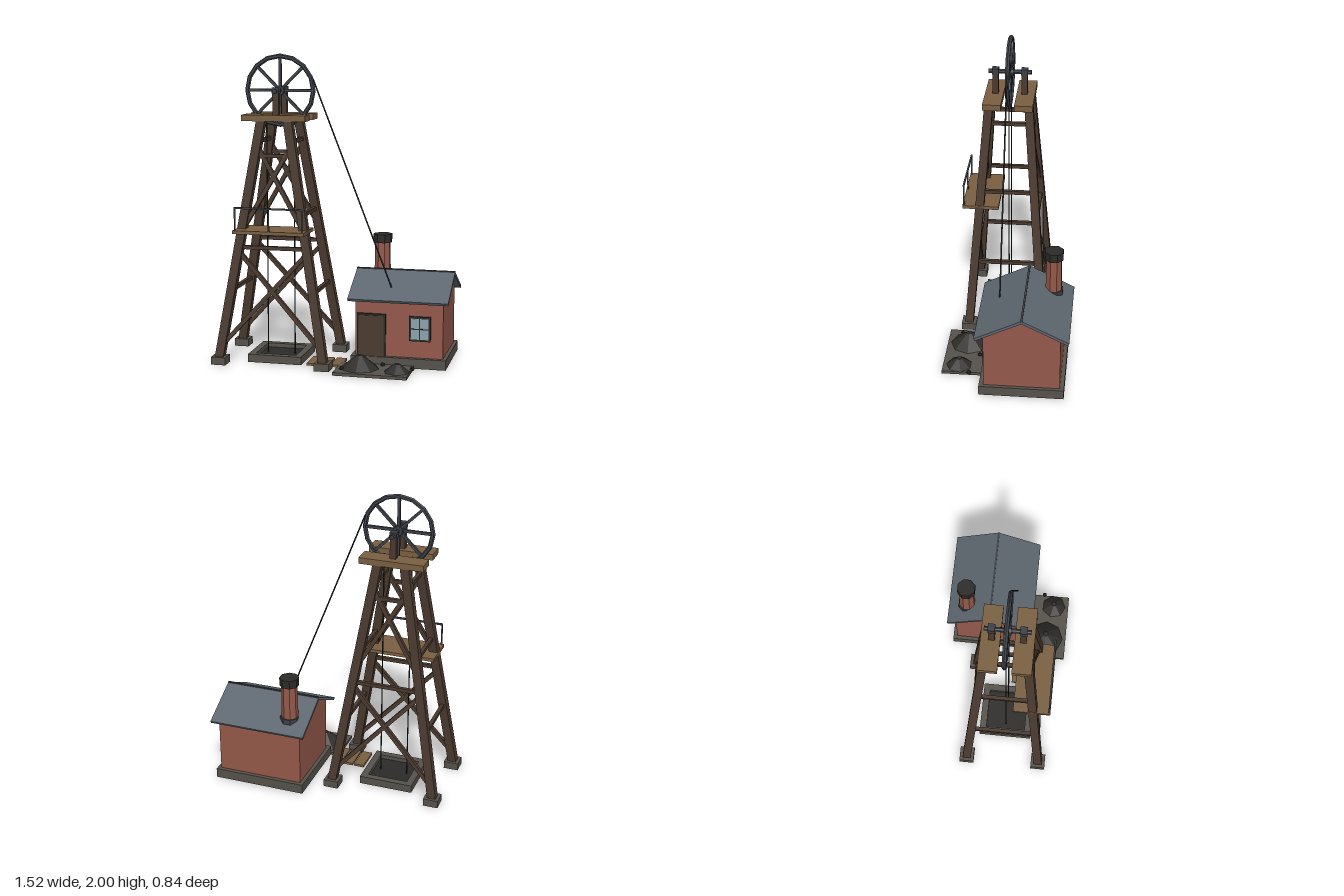
import * as THREE from 'three';

const mat = (color) => new THREE.MeshStandardMaterial({ color, flatShading: true });
const M = {
  timber: mat(0x4a3a2f), plank: mat(0x7a6042), iron: mat(0x3c4047), cable: mat(0x1f2222),
  stone: mat(0x56524b), brick: mat(0x94594a), roof: mat(0x5d666f), dark: mat(0x2c2b29),
  door: mat(0x4a3b30), glass: mat(0x8aa5b0), coal: mat(0x302e2b),
};

function add(parent, name, geo, material, x = 0, y = 0, z = 0) {
  const m = new THREE.Mesh(geo, material);
  m.name = name;
  m.position.set(x, y, z);
  parent.add(m);
  return m;
}

// Box given by its minimum and maximum on each axis
function box(parent, name, material, x0, x1, y0, y1, z0, z1) {
  return add(parent, name, new THREE.BoxGeometry(x1 - x0, y1 - y0, z1 - z0), material,
    (x0 + x1) / 2, (y0 + y1) / 2, (z0 + z1) / 2);
}

// Square beam or round rod between two points
function beam(parent, name, material, a, b, w, round = false) {
  const p = new THREE.Vector3(...a), q = new THREE.Vector3(...b);
  const d = q.clone().sub(p), len = d.length();
  const geo = round ? new THREE.CylinderGeometry(w, w, len, 6) : new THREE.BoxGeometry(w, len, w);
  const m = add(parent, name, geo, material);
  m.position.copy(p).add(q).multiplyScalar(0.5);
  m.quaternion.setFromUnitVectors(new THREE.Vector3(0, 1, 0), d.normalize());
  return m;
}

// Outline in (z, y) swept along x from x0 to x1
function sweepX(parent, name, material, pts, x0, x1) {
  const shape = new THREE.Shape(pts.map(([z, y]) => new THREE.Vector2(z, y)));
  const geo = new THREE.ExtrudeGeometry(shape, { depth: x1 - x0, bevelEnabled: false });
  geo.rotateY(-Math.PI / 2);
  return add(parent, name, geo, material, x1, 0, 0);
}

const CX = -0.367, CZ = 0.05; // tower axis

// Centre of a leg at height y; sx and sz choose the corner
function legAt(sx, sz, y) {
  const t = (y - 0.05) / 1.53;
  return [CX + sx * (0.345 - 0.257 * t), y, CZ + sz * (0.25 - 0.12 * t)];
}

function buildTower() {
  const g = new THREE.Group();
  g.name = 'tower';
  for (const sz of [-1, 1]) {
    for (const sx of [-1, 1]) {
      const [x, , z] = legAt(sx, sz, 0.05);
      box(g, 'footing', M.stone, x - 0.049, x + 0.049, 0, 0.05, z - 0.049, z + 0.049);
      beam(g, 'leg', M.timber, legAt(sx, sz, 0.03), legAt(sx, sz, 1.59), 0.056);
      // Crossed braces on the front and back faces
      beam(g, 'lowerBrace', M.timber, legAt(sx, sz, 0.12), legAt(-sx, sz, 0.74), 0.027);
      beam(g, 'upperBrace', M.timber, legAt(sx, sz, 0.87), legAt(-sx, sz, 1.42), 0.027);
    }
    for (const y of [0.765, 1.355])
      beam(g, 'crossRail', M.timber, legAt(-1, sz, y), legAt(1, sz, y), 0.024);
    // Head beams, with a post and bearing on each
    const z = CZ + sz * 0.103;
    box(g, 'headBeam', M.plank, -0.58, -0.16, 1.575, 1.615, z - 0.06, z + 0.06);
    const pz = CZ + sz * 0.095;
    box(g, 'bearingPost', M.timber, CX - 0.02, CX + 0.02, 1.615, 1.765, pz - 0.019, pz + 0.019);
    box(g, 'bearing', M.iron, CX - 0.024, CX + 0.024, 1.75, 1.788, pz - 0.022, pz + 0.022);
  }
  for (const sx of [-1, 1])
    for (const y of [0.485, 0.98, 1.445])
      beam(g, 'sideRail', M.timber, legAt(sx, -1, y), legAt(sx, 1, y), 0.024);

  // Front platform with railing
  box(g, 'platform', M.plank, -0.605, -0.133, 0.865, 0.887, 0.108, 0.35);
  for (const x of [-0.59, CX, -0.148])
    beam(g, 'railingPost', M.iron, [x, 0.88, 0.34], [x, 1.035, 0.34], 0.009);
  beam(g, 'railing', M.iron, [-0.595, 1.032, 0.34], [-0.143, 1.032, 0.34], 0.011);
  return g;
}

function buildWheel() {
  const g = new THREE.Group();
  g.name = 'windingWheel';
  g.position.set(CX, 1.765, CZ);
  add(g, 'rim', new THREE.TorusGeometry(0.221, 0.015, 6, 16), M.iron);
  for (let i = 0; i < 8; i++) {
    const a = i * Math.PI / 4;
    beam(g, 'spoke', M.iron, [0, 0, 0], [0.215 * Math.cos(a), 0.215 * Math.sin(a), 0], 0.018);
  }
  add(g, 'hub', new THREE.CylinderGeometry(0.032, 0.032, 0.045, 8).rotateX(Math.PI / 2), M.iron);
  add(g, 'axle', new THREE.CylinderGeometry(0.015, 0.015, 0.28, 8).rotateX(Math.PI / 2), M.iron);
  return g;
}

function buildShaft() {
  const g = new THREE.Group();
  g.name = 'shaft';
  const r = 0.18, w = 0.045;
  for (const s of [-1, 1]) {
    const o = s * (r - w / 2);
    box(g, 'shaftCurb', M.stone, CX - r, CX + r, 0, 0.052, CZ + o - w / 2, CZ + o + w / 2);
    box(g, 'shaftCurb', M.stone, CX + o - w / 2, CX + o + w / 2, 0, 0.052, CZ - r + w, CZ + r - w);
    const x = CX + s * 0.092;
    beam(g, 'hoistCable', M.cable, [x, 0.01, CZ], [x, 1.6, CZ], 0.004, true);
  }
  box(g, 'shaftMouth', M.dark, CX - r + w, CX + r - w, 0.004, 0.025, CZ - r + w, CZ + r - w);
  return g;
}

function buildHouse() {
  const g = new THREE.Group();
  g.name = 'engineHouse';
  const ridge = -0.122;
  box(g, 'plinth', M.stone, 0.125, 0.745, 0.003, 0.067, -0.392, 0.153);
  sweepX(g, 'walls', M.brick,
    [[-0.365, 0], [0.123, 0], [0.123, 0.445], [ridge, 0.568], [-0.365, 0.445]], 0.15, 0.722);
  sweepX(g, 'roof', M.roof, [[0.168, 0.427], [0.177, 0.443], [ridge, 0.592], [-0.42, 0.443],
    [-0.411, 0.427], [ridge, 0.571]], 0.107, 0.76);
  box(g, 'ridgeCap', M.iron, 0.107, 0.76, 0.58, 0.596, ridge - 0.006, ridge + 0.006);

  // Chimney
  const stack = (name, m, r0, r1, y0, y1) => add(g, name,
    new THREE.CylinderGeometry(r1, r0, y1 - y0, 8).rotateY(Math.PI / 8), m, 0.245, (y0 + y1) / 2, -0.29);
  stack('chimney', M.brick, 0.057, 0.052, 0.46, 0.75);
  stack('chimneyBase', M.iron, 0.064, 0.064, 0.47, 0.515);
  stack('chimneyCap', M.dark, 0.064, 0.064, 0.742, 0.798);

  // Door and window
  box(g, 'doorFrame', M.dark, 0.163, 0.35, 0.067, 0.345, 0.12, 0.138);
  box(g, 'door', M.door, 0.174, 0.339, 0.067, 0.334, 0.12, 0.144);
  box(g, 'windowFrame', M.dark, 0.503, 0.643, 0.178, 0.34, 0.12, 0.134);
  box(g, 'windowGlass', M.glass, 0.516, 0.63, 0.191, 0.327, 0.12, 0.138);
  box(g, 'mullion', M.dark, 0.57, 0.576, 0.19, 0.328, 0.13, 0.142);
  box(g, 'glazingBar', M.dark, 0.515, 0.631, 0.256, 0.262, 0.13, 0.142);
  return g;
}

function buildYard() {
  const g = new THREE.Group();
  g.name = 'yard';
  box(g, 'coalPad', M.stone, 0.065, 0.54, 0, 0.02, 0.15, 0.418);
  for (const [x, z, r, h, n] of [[0.212, 0.272, 0.127, 0.088, 8], [0.46, 0.312, 0.087, 0.055, 7]])
    add(g, 'coalHeap', new THREE.CylinderGeometry(0.018, r, h, n), M.coal, x, 0.018 + h / 2, z);
  for (const [x, z] of [[0.105, 0.33], [0.345, 0.188], [0.545, 0.238]])
    add(g, 'coalLump', new THREE.IcosahedronGeometry(0.016), M.coal, x, 0.026, z);
  for (const x of [-0.113, -0.034, 0.047])
    box(g, 'walkPlank', M.plank, x - 0.034, x + 0.034, 0.004, 0.02, 0.06, 0.24);
  return g;
}

export function createModel() {
  const model = new THREE.Group();
  model.name = 'mineHeadframe';
  model.add(buildTower(), buildWheel(), buildShaft(), buildHouse(), buildYard());
  // Cable from the wheel rim to the engine house roof
  beam(model, 'haulCable', M.cable, [-0.148, 1.84, CZ], [0.372, 0.505, CZ], 0.005, true);
  return model;
}
